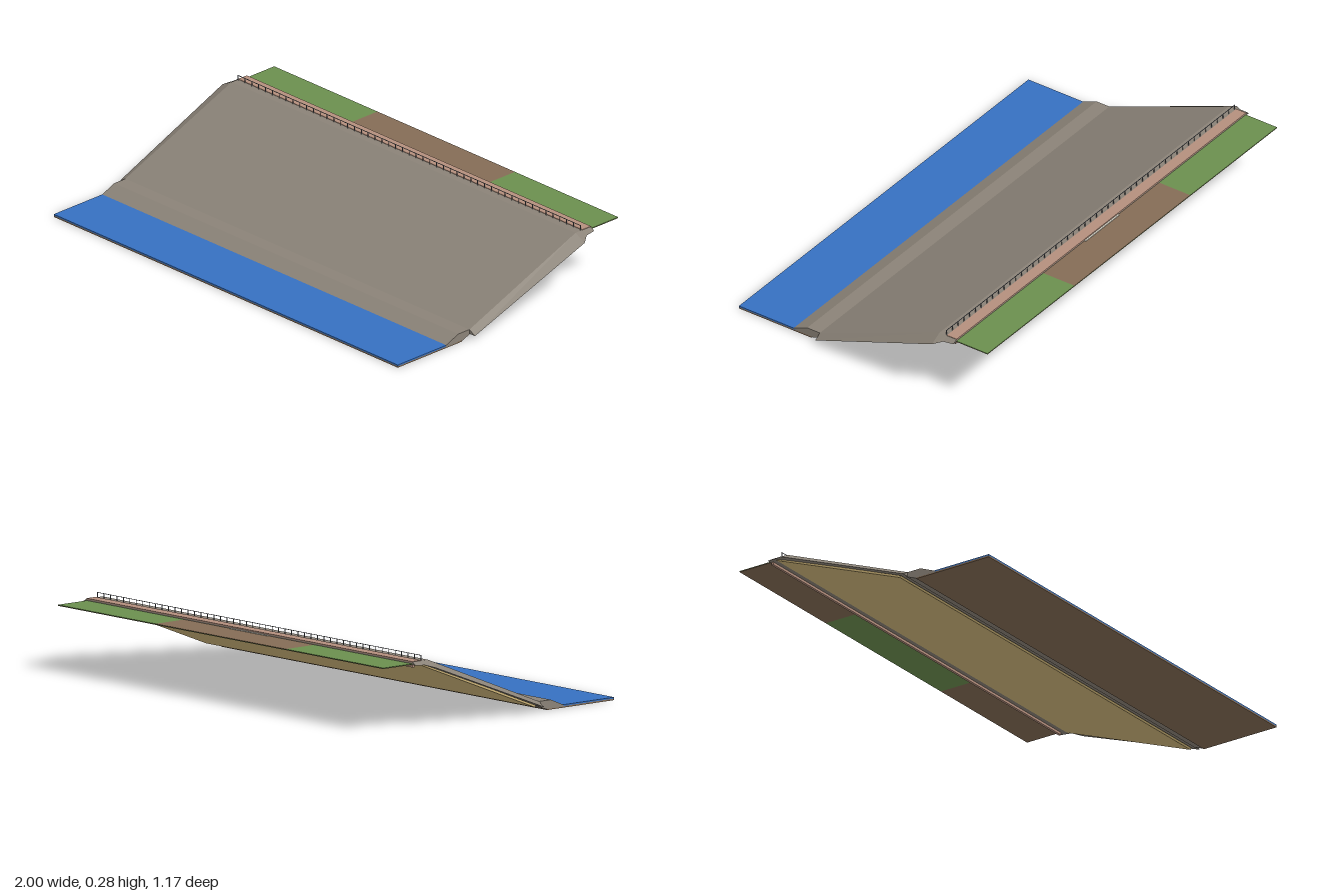
import * as THREE from 'three';

const material = (name, color, side = THREE.FrontSide) => {
  const m = new THREE.MeshStandardMaterial({ color, side });
  m.name = name;
  return m;
};

// Loft closed cross-sections (lists of [x, y, z]) into a flat-faced solid
function loft(sections) {
  const pos = [];
  const quad = (a, b, c, d) => pos.push(...a, ...b, ...c, ...a, ...c, ...d);
  const n = sections[0].length;
  for (let s = 0; s < sections.length - 1; s++) {
    for (let i = 0; i < n; i++) {
      const j = (i + 1) % n;
      quad(sections[s][i], sections[s + 1][i], sections[s + 1][j], sections[s][j]);
    }
  }
  const first = sections[0], last = sections[sections.length - 1];
  quad(first[0], first[1], first[2], first[3]);
  quad(last[3], last[2], last[1], last[0]);
  const g = new THREE.BufferGeometry();
  g.setAttribute('position', new THREE.Float32BufferAttribute(pos, 3));
  g.computeVertexNormals();
  return g;
}

// Extrude a [z, y] side profile across the width
function acrossWidth(profile, half) {
  const shape = new THREE.Shape(profile.map(([z, y]) => new THREE.Vector2(-z, y)));
  const g = new THREE.ExtrudeGeometry(shape, { depth: half * 2, bevelEnabled: false });
  g.translate(0, 0, -half);
  g.rotateY(Math.PI / 2);
  return g;
}

export function createModel() {
  const model = new THREE.Group();
  model.name = 'embankment';
  const concrete = material('concrete grey', 0x8a8277);
  const sand = material('filter sand', 0xcdb478);
  const earth = material('earth brown', 0x846c55);
  const grass = material('grass green', 0x6b8f4e);
  const water = material('water blue', 0x3670c0);
  const paving = material('paving pink', 0xb48f7d);
  const pale = material('pale stone', 0xdad6c8);
  const steel = material('railing grey', 0x6c7078);

  const add = (name, geometry, mat, parent = model) => {
    const mesh = new THREE.Mesh(geometry, mat);
    mesh.name = name;
    parent.add(mesh);
    return mesh;
  };
  // Box given by its limits on each axis
  const block = (name, [x0, x1], [y0, y1], [z0, z1], mat, parent) => {
    const mesh = add(name, new THREE.BoxGeometry(x1 - x0, y1 - y0, z1 - z0), mat, parent);
    mesh.position.set((x0 + x1) / 2, (y0 + y1) / 2, (z0 + z1) / 2);
    return mesh;
  };

  // Sloping slab and crest with flared side edges: z, top y, bottom y, top half, bottom half
  const stations = [
    [0.205, 0.038, 0.02, 0.95, 0.98],
    [-0.36, 0.264, 0.238, 0.95, 1.0],
    [-0.395, 0.264, 0.25, 0.95, 0.975],
    [-0.44, 0.264, 0.253, 0.95, 0.97],
  ];
  add('slopeSlab', loft(stations.map(([z, t, b, ht, hb]) => [
    [-hb, b, z], [hb, b, z], [ht, t, z], [-ht, t, z],
  ])), concrete);

  // Filter layer beneath the slab
  add('filterLayer', acrossWidth(
    [[0.18, 0.027], [0.175, 0.02], [-0.39, 0.243], [-0.41, 0.252], [-0.39, 0.253]], 0.96), sand);

  // Toe berm at the waterline
  add('toeBerm', acrossWidth(
    [[0.33, 0.011], [0.33, 0.004], [0.24, 0.004], [0.2, 0.02], [0.2, 0.038], [0.265, 0.038]], 0.95), concrete);

  // Water over its bed
  block('waterBed', [-0.95, 0.95], [0, 0.006], [0.245, 0.587], earth);
  block('water', [-0.95, 0.95], [0.006, 0.0115], [0.32, 0.587], water);

  // Land behind the crest: grass at both ends, a bare strip in the middle
  const land = new THREE.Group();
  land.name = 'land';
  model.add(land);
  const strip = (name, x, upper, lower) => {
    block(name + 'Top', x, [0.255, 0.257], [-0.587, -0.435], upper, land);
    block(name + 'Underside', x, [0.253, 0.255], [-0.587, -0.435], lower, land);
  };
  strip('leftGrass', [0.38, 0.95], grass, earth);
  strip('rightGrass', [-0.95, -0.38], grass, earth);
  strip('middleEarth', [-0.38, 0.38], earth, grass);

  // Paved walk, its rear kerb and the pale step
  block('walkPaving', [-0.95, 0.95], [0.262, 0.266], [-0.441, -0.395], paving);
  block('rearKerb', [-0.95, 0.95], [0.242, 0.264], [-0.437, -0.427], paving);
  block('step', [-0.11, 0.11], [0.255, 0.26], [-0.447, -0.44], pale);

  // Railing
  const railing = new THREE.Group();
  railing.name = 'railing';
  model.add(railing);
  const posts = 51;
  for (let i = 0; i < posts; i++) {
    const x = -0.945 + (1.89 * i) / (posts - 1);
    block('post', [x - 0.0012, x + 0.0012], [0.263, 0.284], [-0.3912, -0.3888], steel, railing);
  }
  block('topRail', [-0.947, 0.947], [0.2828, 0.2848], [-0.391, -0.389], steel, railing);

  return model;
}
